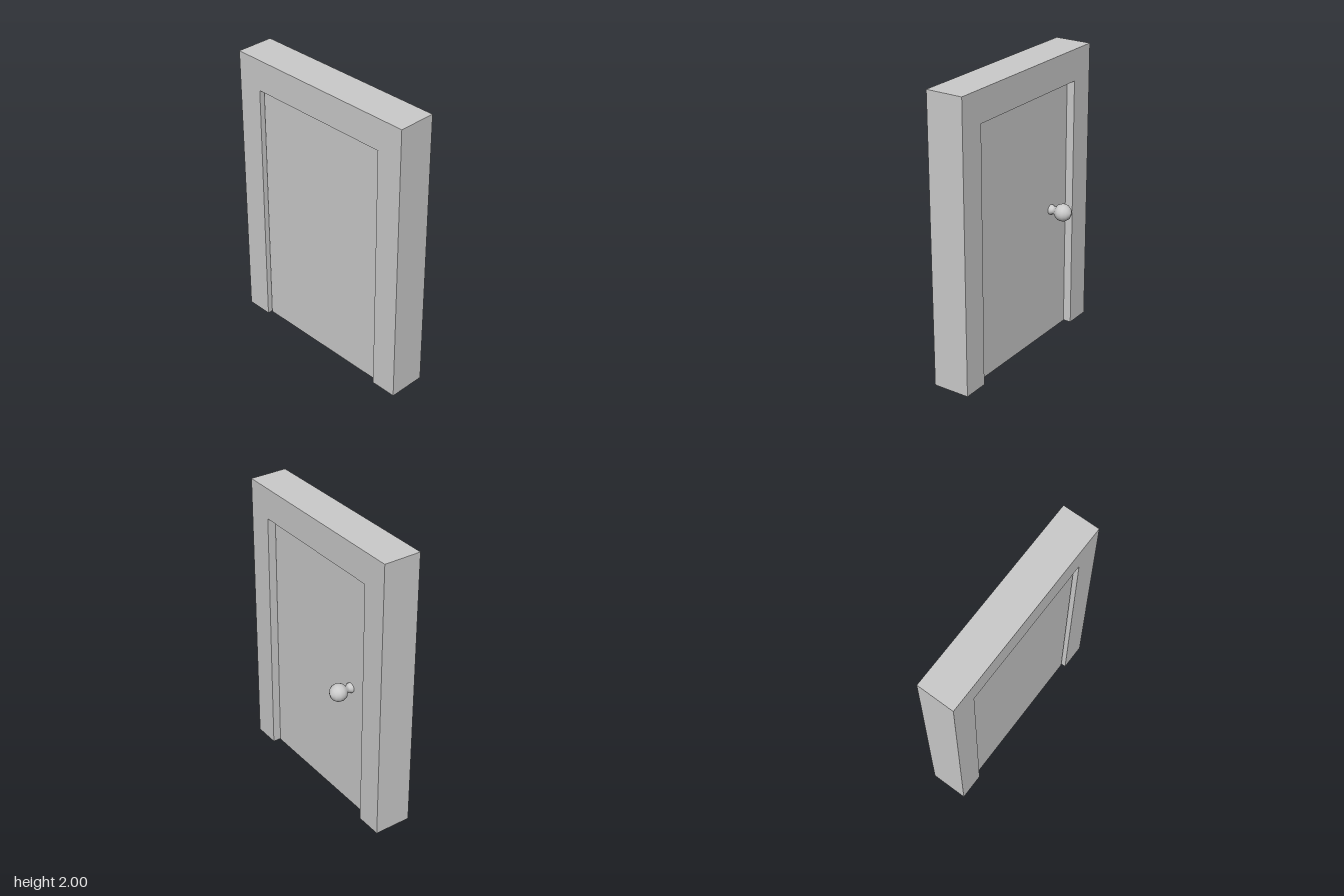
import * as THREE from 'three';

export function createModel() {
  const model = new THREE.Group();
  const material = new THREE.MeshStandardMaterial({ color: 0xcccccc });
  const add = (name, geometry) => {
    const mesh = new THREE.Mesh(geometry, material);
    mesh.name = name;
    model.add(mesh);
    return mesh;
  };

  // Frame: an upside-down U outline, extruded through the wall thickness
  const backX = -0.183, frontX = 0.077;
  const halfWidth = 0.705, halfOpening = 0.521, openingTop = 1.785;
  const outline = new THREE.Shape([
    [-halfWidth, 0], [-halfOpening, 0], [-halfOpening, openingTop],
    [halfOpening, openingTop], [halfOpening, 0], [halfWidth, 0],
    [halfWidth, 2], [-halfWidth, 2],
  ].map(([x, y]) => new THREE.Vector2(x, y)));
  const frame = add('doorFrame', new THREE.ExtrudeGeometry(outline, {
    depth: frontX - backX, bevelEnabled: false,
  }));
  frame.rotation.y = Math.PI / 2;
  frame.position.x = backX;

  // Door leaf: recessed on both faces, with a narrow gap at the jambs
  const leafBack = -0.153, leafFront = 0.025, leafBottom = 0.003, leafTop = 1.782;
  const leaf = add('doorLeaf', new THREE.BoxGeometry(
    leafFront - leafBack, leafTop - leafBottom, 1.026));
  leaf.position.set((leafFront + leafBack) / 2, (leafTop + leafBottom) / 2, 0);

  // Knob: flared neck and rounded grip turned around one axis
  const radius = 0.061, gripCentre = 0.122 - leafFront;
  const profile = [[0.034, 0], [0.034, 0.012], [0.026, 0.025]];
  for (let i = 1; i <= 6; i++) {
    const angle = -Math.PI / 2 + (i - 0.5 + 0.5) * Math.PI / 6.5;
    profile.push([radius * Math.cos(angle), gripCentre + radius * Math.sin(angle)]);
  }
  profile.push([0, gripCentre + radius]);
  const knob = add('doorKnob', new THREE.LatheGeometry(
    profile.map(([r, y]) => new THREE.Vector2(r, y)), 24));
  knob.rotation.z = -Math.PI / 2;
  knob.position.set(leafFront, 0.925, -0.33);

  return model;
}
